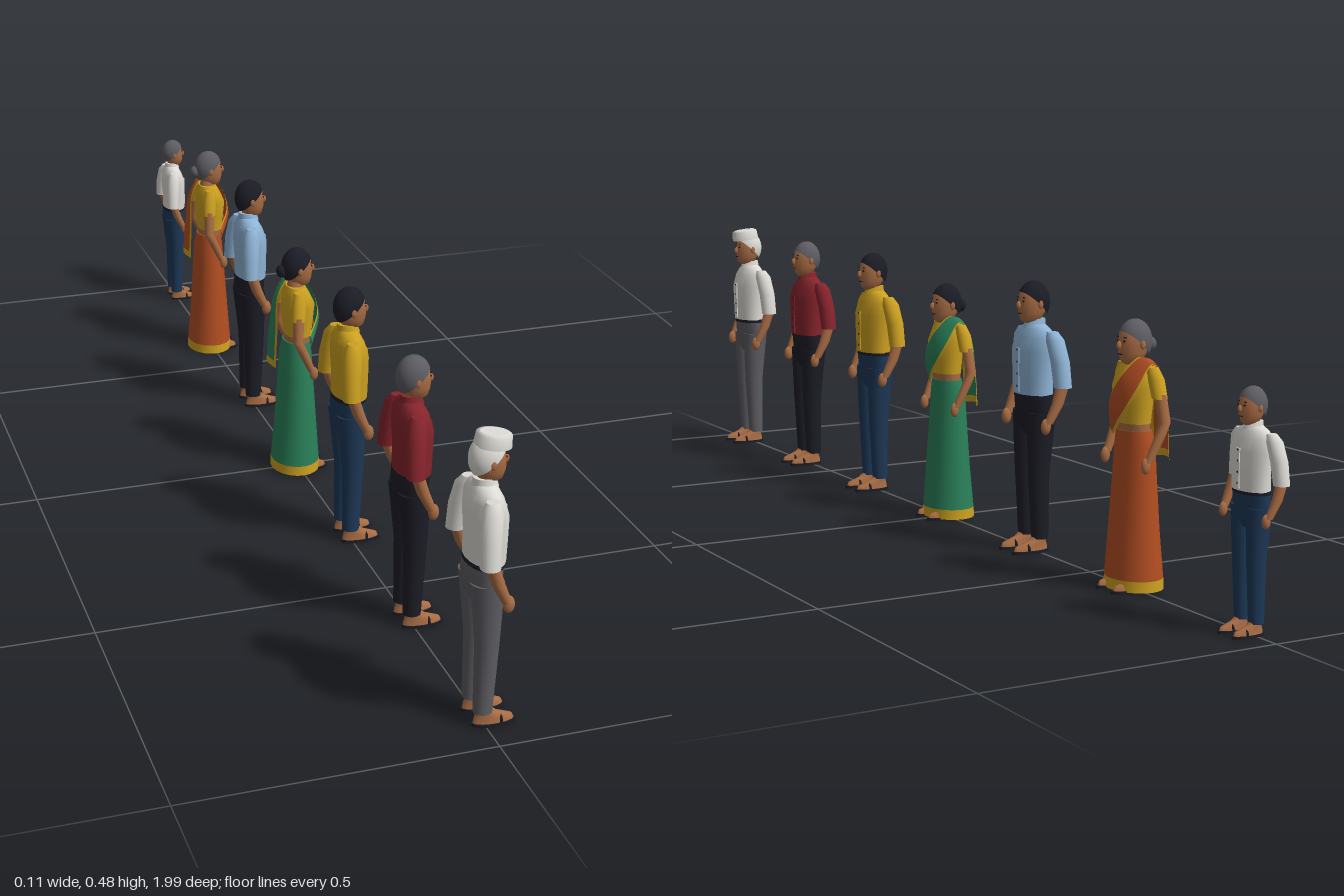
import * as THREE from 'three';

const mat = (name, color, side = THREE.FrontSide) =>
  Object.assign(new THREE.MeshStandardMaterial({ color, side }), { name });
const D = THREE.DoubleSide;
const M = {
  skin: mat('skin', 0xa86c44),
  white: mat('white', 0xdcdad4),
  grey: mat('grey', 0x5c5c62),
  dark: mat('dark', 0x1c1c26),
  red: mat('red', 0x86242c),
  yellow: mat('yellow', 0xcca020, D),
  navy: mat('navy', 0x1d3856),
  green: mat('green', 0x2a8059, D),
  blue: mat('light blue', 0x8fb4d6),
  rust: mat('rust', 0xb24e22, D),
};

function add(group, name, geometry, material) {
  const mesh = new THREE.Mesh(geometry, material);
  mesh.name = name;
  group.add(mesh);
  return mesh;
}

// Body through horizontal ellses listed upward as [x, y, z, rx, rz]
function loft(rings, caps = true, n = 20) {
  const pos = [], idx = [];
  const ring = ([x, y, z, rx, rz]) => {
    const start = pos.length / 3;
    for (let i = 0; i < n; i++) {
      const a = (i / n) * Math.PI * 2;
      pos.push(x + rx * Math.cos(a), y, z + rz * Math.sin(a));
    }
    return start;
  };
  const starts = rings.map(ring);
  for (let k = 0; k + 1 < starts.length; k++) {
    for (let i = 0; i < n; i++) {
      const j = (i + 1) % n, a = starts[k], b = starts[k + 1];
      idx.push(a + i, b + i, a + j, a + j, b + i, b + j);
    }
  }
  if (caps) {
    [rings[0], rings[rings.length - 1]].forEach((r, top) => {
      const s = ring(r), c = pos.length / 3;
      pos.push(r[0], r[1], r[2]);
      for (let i = 0; i < n; i++) {
        const j = (i + 1) % n;
        idx.push(c, s + (top ? j : i), s + (top ? i : j));
      }
    });
  }
  const g = new THREE.BufferGeometry();
  g.setAttribute('position', new THREE.Float32BufferAttribute(pos, 3));
  g.setIndex(idx);
  g.computeVertexNormals();
  return g;
}

const ball = (x, y, z, rx, ry, rz) =>
  new THREE.SphereGeometry(1, 16, 12).scale(rx, ry, rz).translate(x, y, z);

// Face, ears and hair; y is the middle of the head
function head(f, y, hair, bun) {
  const h = new THREE.Group();
  h.name = 'head';
  h.position.y = y;
  f.add(h);
  add(h, 'face', loft([
    [0, -0.036, 0.006, 0.008, 0.010], [0, -0.031, 0.005, 0.015, 0.018],
    [0, -0.018, 0.003, 0.020, 0.024], [0, 0, 0.001, 0.023, 0.026],
    [0, 0.018, 0, 0.021, 0.024], [0, 0.030, -0.001, 0.011, 0.014]]), M.skin);
  add(h, 'nose', ball(0, -0.005, 0.028, 0.0035, 0.007, 0.005), M.skin);
  add(h, 'mouth', ball(0, -0.019, 0.026, 0.007, 0.0012, 0.002), M.dark);
  for (const s of [-1, 1]) {
    add(h, 'ear', ball(s * 0.0235, -0.003, -0.001, 0.003, 0.008, 0.005), M.skin);
    add(h, 'eye', ball(s * 0.009, 0.002, 0.0245, 0.003, 0.0018, 0.0015), M.dark);
    add(h, 'eyebrow', ball(s * 0.009, 0.008, 0.0235, 0.005, 0.0011, 0.0015), M.dark);
  }
  add(h, 'hair', new THREE.SphereGeometry(1, 24, 14, 0, Math.PI * 2, 0, 1.68)
    .rotateX(-0.62).scale(0.0255, 0.036, 0.029).translate(0, 0.0, -0.001), hair);
  if (bun) add(h, 'hairBun', ball(0, -0.006, -0.03, 0.012, 0.012, 0.010), hair);
}

// Bare foot on a flat sandal
function foot(f, s) {
  const x = s * 0.022;
  add(f, 'sandalSole', loft([[x, 0, 0.016, 0.0135, 0.036], [x, 0.005, 0.016, 0.0135, 0.036]]), M.dark);
  add(f, 'foot', loft([
    [x, 0.005, 0.015, 0.0115, 0.033], [x, 0.012, 0.014, 0.0105, 0.031],
    [x, 0.020, 0.004, 0.0095, 0.018], [x, 0.030, -0.002, 0.009, 0.011],
    [x, 0.050, -0.002, 0.009, 0.010]]), M.skin);
  add(f, 'sandalStrap', new THREE.TorusGeometry(0.0115, 0.0025, 6, 12, Math.PI)
    .translate(x, 0.005, 0.024), M.dark);
}

function man(shirt, trousers, hair) {
  const f = new THREE.Group();
  for (const s of [-1, 1]) {
    foot(f, s);
    add(f, 'trouserLeg', loft([
      [s * 0.022, 0.024, -0.003, 0.0145, 0.015], [s * 0.022, 0.14, 0, 0.0175, 0.019],
      [s * 0.023, 0.20, -0.002, 0.021, 0.023], [s * 0.024, 0.245, -0.004, 0.023, 0.026]]), trousers);
    add(f, 'sleeve', loft([
      [s * 0.068, 0.292, -0.019, 0.0155, 0.0155], [s * 0.062, 0.335, -0.017, 0.0165, 0.0165],
      [s * 0.053, 0.372, -0.012, 0.015, 0.0165], [s * 0.047, 0.386, -0.010, 0.009, 0.010]]), shirt);
    add(f, 'forearm', loft([
      [s * 0.068, 0.232, 0.009, 0.0075, 0.008], [s * 0.071, 0.265, -0.007, 0.0095, 0.0105],
      [s * 0.070, 0.305, -0.020, 0.011, 0.011]]), M.skin);
    add(f, 'hand', ball(s * 0.066, 0.227, 0.013, 0.007, 0.014, 0.009), M.skin);
  }
  add(f, 'hips', loft([
    [0, 0.205, -0.003, 0.030, 0.016], [0, 0.225, -0.004, 0.045, 0.026],
    [0, 0.25, -0.004, 0.047, 0.028], [0, 0.274, -0.002, 0.045, 0.028]]), trousers);
  add(f, 'belt', loft([[0, 0.270, -0.002, 0.046, 0.029], [0, 0.277, -0.002, 0.046, 0.029]]), M.dark);
  add(f, 'shirt', loft([
    [0, 0.276, -0.001, 0.046, 0.0295], [0, 0.31, 0, 0.046, 0.030], [0, 0.35, -0.001, 0.051, 0.031],
    [0, 0.375, -0.004, 0.050, 0.026], [0, 0.388, -0.005, 0.040, 0.020],
    [0, 0.396, -0.005, 0.019, 0.016]]), shirt);
  add(f, 'collar', loft([[0, 0.390, -0.003, 0.019, 0.020], [0, 0.405, -0.005, 0.016, 0.017]]), shirt);
  add(f, 'neck', loft([[0, 0.385, -0.003, 0.013, 0.014], [0, 0.425, 0, 0.013, 0.014]]), M.skin);
  add(f, 'placket', new THREE.BoxGeometry(0.009, 0.075, 0.003).translate(0, 0.318, 0.0297), shirt);
  for (let i = 0; i < 4; i++)
    add(f, 'button', ball(0, 0.29 + i * 0.021, 0.0312, 0.002, 0.002, 0.001), M.dark);
  head(f, 0.434, hair, false);
  return f;
}

const curve = pts => new THREE.CatmullRomCurve3(pts.map(p => new THREE.Vector3(...p)));
const UPPER = curve([[-0.038, 0.278, 0.012], [-0.014, 0.315, 0.034], [0.010, 0.355, 0.027],
  [0.018, 0.378, 0], [0.006, 0.35, -0.032], [-0.012, 0.28, -0.042], [-0.014, 0.21, -0.046]]);
const LOWER = curve([[-0.042, 0.245, 0.010], [0.012, 0.274, 0.034], [0.042, 0.325, 0.022],
  [0.049, 0.368, -0.002], [0.046, 0.33, -0.024], [0.042, 0.27, -0.038], [0.038, 0.21, -0.044]]);

// Part of the drape: u runs across the cloth, t along it from hip over shoulder
function drape(u0, u1, t0, t1, lift = 0) {
  const nu = 8, nt = 48, pos = [], idx = [];
  for (let j = 0; j <= nt; j++) for (let i = 0; i <= nu; i++) {
    const u = u0 + (u1 - u0) * i / nu, t = (t0 + (t1 - t0) * j / nt);
    const p = UPPER.getPoint(t).lerp(LOWER.getPoint(t), u);
    const k = 1 + 0.2 * Math.sin(Math.PI * u) + lift;
    pos.push(p.x * k, p.y + 0.004 * Math.sin(Math.PI * u), p.z * k);
    if (i < nu && j < nt) {
      const a = j * (nu + 1) + i, b = a + nu + 1;
      idx.push(a, a + 1, b, a + 1, b + 1, b);
    }
  }
  const g = new THREE.BufferGeometry();
  g.setAttribute('position', new THREE.Float32BufferAttribute(pos, 3));
  g.setIndex(idx);
  g.computeVertexNormals();
  return g;
}

function woman(cloth, hair) {
  const f = new THREE.Group();
  for (const s of [-1, 1]) {
    foot(f, s);
    add(f, 'blouseSleeve', loft([
      [s * 0.053, 0.315, -0.014, 0.012, 0.013], [s * 0.047, 0.345, -0.011, 0.0125, 0.0135],
      [s * 0.040, 0.364, -0.008, 0.009, 0.010]]), M.yellow);
    add(f, 'arm', loft([
      [s * 0.059, 0.215, 0.010, 0.0065, 0.007], [s * 0.063, 0.255, -0.008, 0.008, 0.009],
      [s * 0.062, 0.278, -0.018, 0.0095, 0.0095], [s * 0.054, 0.322, -0.014, 0.010, 0.0105]]), M.skin);
    add(f, 'hand', ball(s * 0.058, 0.210, 0.014, 0.006, 0.013, 0.008), M.skin);
  }
  add(f, 'hem', loft([[0, 0.003, -0.005, 0.0555, 0.0455], [0, 0.021, -0.005, 0.0545, 0.0445]], false, 32), M.yellow);
  add(f, 'skirt', loft([
    [0, 0.020, -0.005, 0.0545, 0.0445], [0, 0.10, -0.004, 0.048, 0.038],
    [0, 0.19, -0.004, 0.042, 0.032], [0, 0.235, -0.004, 0.040, 0.029],
    [0, 0.260, -0.002, 0.035, 0.025]], true, 32), cloth);
  add(f, 'midriff', loft([[0, 0.25, -0.002, 0.033, 0.023], [0, 0.285, 0, 0.034, 0.024]]), M.skin);
  add(f, 'blouse', loft([
    [0, 0.272, 0, 0.035, 0.025], [0, 0.30, 0, 0.037, 0.028], [0, 0.33, 0.001, 0.041, 0.030],
    [0, 0.352, -0.003, 0.041, 0.024], [0, 0.366, -0.004, 0.028, 0.017]]), M.yellow);
  add(f, 'neck', loft([
    [0, 0.355, -0.003, 0.022, 0.020], [0, 0.369, -0.003, 0.016, 0.015],
    [0, 0.395, 0, 0.012, 0.013]]), M.skin);
  add(f, 'drape', drape(0.1, 0.9, 0, 0.97), cloth);
  add(f, 'drapeBorder', drape(0, 0.1, 0, 1), M.yellow);
  add(f, 'drapeBorder', drape(0.9, 1, 0, 1), M.yellow);
  add(f, 'drapeEnd', drape(0.1, 0.9, 0.97, 1), M.yellow);
  head(f, 0.401, hair, true);
  return f;
}

// Folded boat-shaped cap, tipped forward
function cap(f) {
  const c = add(f, 'cap', loft([
    [0, 0, 0, 0.0255, 0.029], [0, 0.018, 0, 0.025, 0.027],
    [0, 0.021, 0, 0.016, 0.022]], true, 24), M.white);
  c.position.set(0, 0.453, 0.006);
  c.rotation.x = 0.12;
}

export function createModel() {
  const root = new THREE.Group();
  root.name = 'family';
  const elder = man(M.white, M.grey, M.white);
  cap(elder);
  const boy = man(M.white, M.navy, M.grey);
  boy.scale.setScalar(0.79);
  const row = [
    ['elderMan', elder, 0.915],
    ['manInRed', man(M.red, M.dark, M.grey), 0.61],
    ['manInYellow', man(M.yellow, M.navy, M.dark), 0.30],
    ['womanInGreen', woman(M.green, M.dark), 0],
    ['manInBlue', man(M.blue, M.dark, M.dark), -0.31],
    ['womanInRust', woman(M.rust, M.grey), -0.62],
    ['boy', boy, -0.93],
  ];
  // Everyone stands in a line along z, facing +x
  for (const [name, figure, z] of row) {
    figure.name = name;
    figure.position.z = z;
    figure.rotation.y = Math.PI / 2;
    root.add(figure);
  }
  return root;
}
